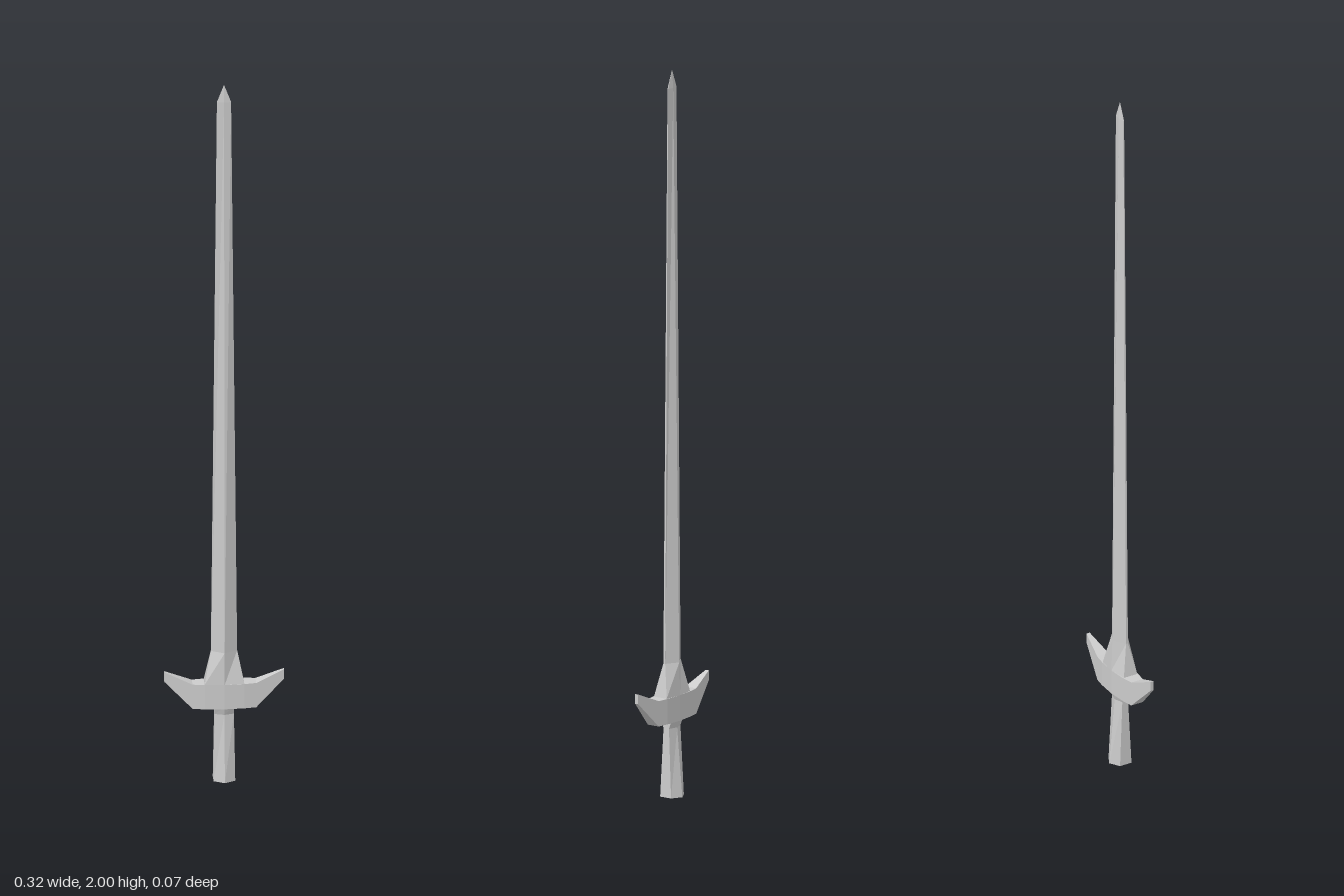
import * as THREE from 'three';

const material = new THREE.MeshStandardMaterial({ color: 0xcccccc, flatShading: true });

// Skins a list of equal-sized rings and closes both ends
function loft(name, rings) {
  const pos = [];
  const tri = (...pts) => pts.forEach(p => pos.push(...p));
  const n = rings[0].length;
  for (let i = 0; i < rings.length - 1; i++) {
    for (let j = 0; j < n; j++) {
      const k = (j + 1) % n;
      const a = rings[i][j], b = rings[i][k], c = rings[i + 1][k], d = rings[i + 1][j];
      tri(a, b, c);
      tri(a, c, d);
    }
  }
  const first = rings[0], last = rings[rings.length - 1];
  for (let j = 1; j < n - 1; j++) {
    tri(first[0], first[j + 1], first[j]);
    tri(last[0], last[j], last[j + 1]);
  }
  const geometry = new THREE.BufferGeometry();
  geometry.setAttribute('position', new THREE.Float32BufferAttribute(pos, 3));
  geometry.computeVertexNormals();
  const mesh = new THREE.Mesh(geometry, material);
  mesh.name = name;
  return mesh;
}

// Six-sided section: ridges front and back, flat sides of half depth "side"
const hexRing = ([y, halfWidth, ridge, side]) => [
  [0, y, ridge], [halfWidth, y, side], [halfWidth, y, -side],
  [0, y, -ridge], [-halfWidth, y, -side], [-halfWidth, y, side],
];

// Rectangular section across the guard
const guardRing = ([x, bottom, top, z]) => [
  [x, top, z], [x, bottom, z], [x, bottom, -z], [x, top, -z],
];

export function createModel() {
  const model = new THREE.Group();
  model.name = 'sword';

  // Blade: flared root, long tapering diamond, short point
  model.add(loft('blade', [
    [0.27, 0.053, 0.027, 0.021],
    [0.28, 0.053, 0.027, 0.021],
    [0.37, 0.035, 0.024, 0.003],
    [1.95, 0.019, 0.004, 0.001],
    [2.0, 0, 0, 0],
  ].map(hexRing)));

  // Guard: thick in the middle, arms sweeping up to thin ends
  const arm = [
    [0.053, 0.21, 0.28, 0.0235],
    [0.085, 0.21, 0.28, 0.018],
    [0.16, 0.285, 0.312, 0.005],
  ];
  const mirrored = arm.map(([x, ...rest]) => [-x, ...rest]).reverse();
  model.add(loft('guard', [...mirrored, [0, 0.21, 0.28, 0.027], ...arm].map(guardRing)));

  // Grip: six-sided, widening towards the pommel end and at the guard
  model.add(loft('grip', [
    [0, 0.029, 0.034, 0.018],
    [0.19, 0.026, 0.017, 0.009],
    [0.215, 0.026, 0.025, 0.018],
  ].map(hexRing)));

  return model;
}
